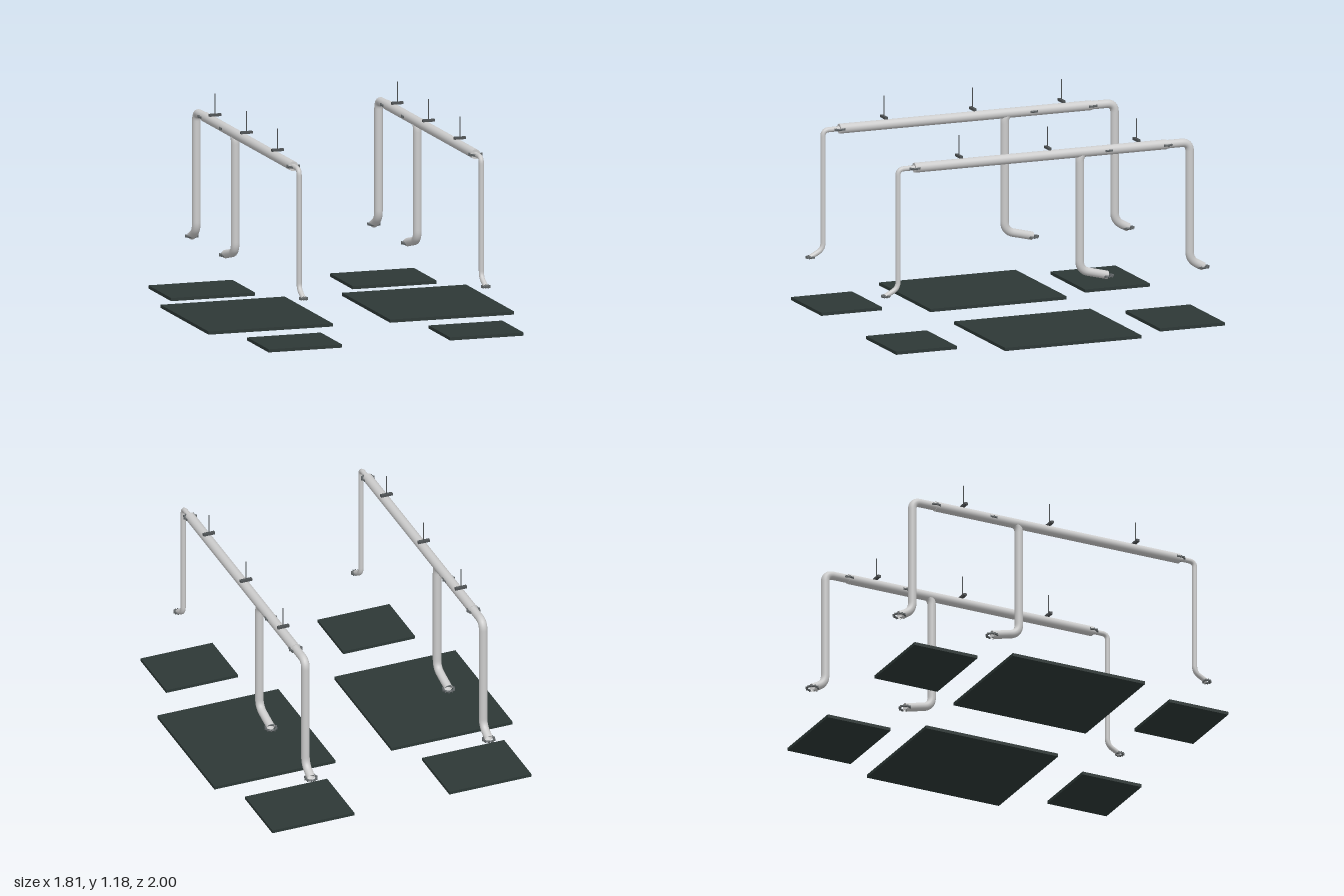
import * as THREE from 'three';

const mat = (name, color, side = THREE.FrontSide) => {
  const m = new THREE.MeshStandardMaterial({ color, side });
  m.name = name;
  return m;
};

export function createModel() {
  const pipeGrey = mat('pipeGrey', 0xcccccc, THREE.DoubleSide);
  const flangeGrey = mat('flangeGrey', 0x63686a);
  const hangerDark = mat('hangerDark', 0x505456);
  const panelGreen = mat('panelGreen', 0x2d3836);

  const model = new THREE.Group();
  model.name = 'ductSystem';

  const add = (parent, name, geometry, material, x, y, z) => {
    const mesh = new THREE.Mesh(geometry, material);
    mesh.name = name;
    mesh.position.set(x, y, z);
    parent.add(mesh);
    return mesh;
  };

  // Pipe through [z, y] corners, each corner rounded by the given distance
  const bentPipe = (points, radius, bend) => {
    const p = points.map(([z, y]) => new THREE.Vector3(0, y, z));
    const path = new THREE.CurvePath();
    let from = p[0];
    for (let i = 1; i < p.length - 1; i++) {
      const toward = (q) => p[i].clone().add(q.clone().sub(p[i]).setLength(bend));
      const start = toward(p[i - 1]);
      const end = toward(p[i + 1]);
      path.add(new THREE.LineCurve3(from, start));
      path.add(new THREE.QuadraticBezierCurve3(start, p[i], end));
      from = end;
    }
    path.add(new THREE.LineCurve3(from, p[p.length - 1]));
    return new THREE.TubeGeometry(path, 90, radius, 20);
  };

  // Flat ring with bolts around its rim
  const flange = (parent, radius, y, z) => {
    const group = new THREE.Group();
    group.name = 'flange';
    group.position.set(0, y, z);
    parent.add(group);
    const ring = add(group, 'flangeRing', new THREE.TorusGeometry(radius - 0.008, 0.006, 8, 28), flangeGrey, 0, 0, 0);
    ring.rotation.x = Math.PI / 2;
    for (let i = 0; i < 10; i++) {
      const a = (i / 10) * Math.PI * 2;
      const r = radius - 0.004;
      add(group, 'flangeBolt', new THREE.CylinderGeometry(0.004, 0.004, 0.013, 6), flangeGrey, Math.cos(a) * r, 0, Math.sin(a) * r);
    }
  };

  const TOP = 1.013, LOW = 0.29;

  for (const side of [1, -1]) {
    const line = new THREE.Group();
    line.name = side > 0 ? 'leftDuctLine' : 'rightDuctLine';
    line.position.x = side * 0.54;
    model.add(line);

    // Overhead main pipe
    const main = add(line, 'mainPipe', new THREE.CylinderGeometry(0.028, 0.028, 1.535, 24), pipeGrey, 0, TOP, 0.03);
    main.rotation.x = Math.PI / 2;

    // Drop pipes with angled outlets
    add(line, 'frontDrop', bentPipe([[0.78, TOP], [0.896, TOP], [0.896, 0.33], [0.972, LOW]], 0.0145, 0.035), pipeGrey, 0, 0, 0);
    add(line, 'middleDrop', bentPipe([[-0.38, TOP], [-0.21, TOP], [-0.21, 0.335], [-0.378, 0.294]], 0.024, 0.055), pipeGrey, 0, 0, 0);
    add(line, 'rearDrop', bentPipe([[-0.72, TOP], [-0.88, TOP], [-0.88, 0.335], [-0.962, 0.292]], 0.024, 0.05), pipeGrey, 0, 0, 0);

    // Flanges at the pipe joints and outlets
    for (const [r, y, z] of [
      [0.04, TOP, 0.795], [0.037, TOP, -0.38], [0.04, TOP, -0.738],
      [0.027, LOW, 0.972], [0.038, LOW, -0.378], [0.039, LOW, -0.96],
    ]) flange(line, r, y, z);

    // Ceiling hangers
    for (const z of [0.524, -0.016, -0.556]) {
      add(line, 'hangerBar', new THREE.BoxGeometry(0.07, 0.014, 0.018), hangerDark, 0, 1.056, z);
      add(line, 'hangerRod', new THREE.CylinderGeometry(0.003, 0.003, 0.118, 8), hangerDark, 0, 1.119, z);
    }

    // Floor panels: width, depth, centre z
    for (const [name, w, d, z] of [
      ['frontPanel', 0.436, 0.37, 0.813],
      ['middlePanel', 0.736, 0.83, -0.017],
      ['rearPanel', 0.498, 0.395, -0.7925],
    ]) add(line, name, new THREE.BoxGeometry(w, 0.018, d), panelGreen, side * -0.002, 0.009, z);
  }
  return model;
}
